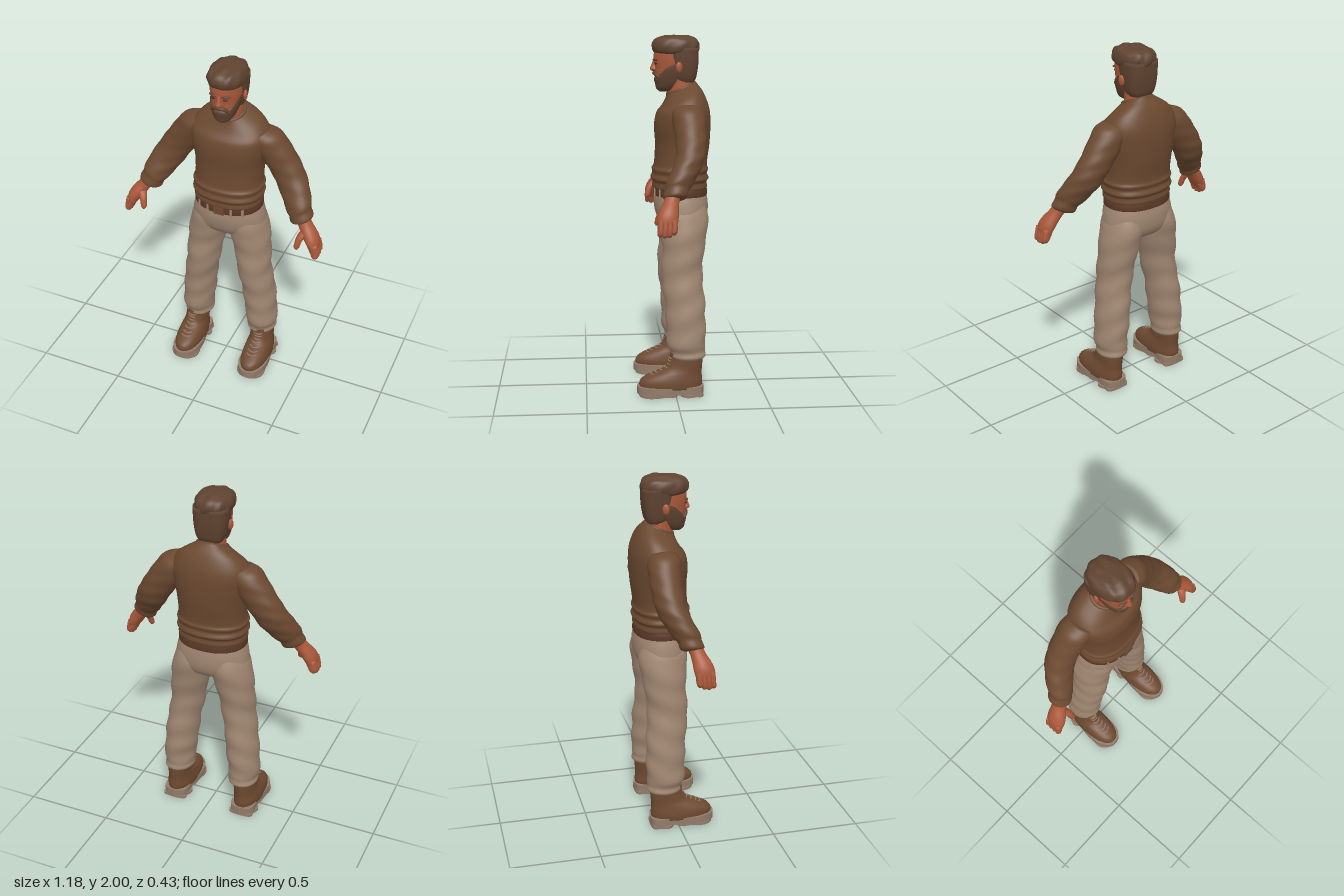
import * as THREE from 'three';

const mat = (name, color, side = THREE.FrontSide) => {
  const m = new THREE.MeshStandardMaterial({ color, side });
  m.name = name;
  return m;
};

// Smooth skin through rings [x, y, z, radiusX, radiusZ, tilt], listed bottom to top
function loft(rows, { seg = 32, steps = 5, n = 2, warp } = {}) {
  const centre = new THREE.CatmullRomCurve3(rows.map(r => new THREE.Vector3(r[0], r[1], r[2])), false, 'catmullrom', 0.5);
  const size = new THREE.CatmullRomCurve3(rows.map(r => new THREE.Vector3(r[3], r[4], r[5] || 0)), false, 'catmullrom', 0.5);
  const count = (rows.length - 1) * steps, pos = [], index = [];
  const pow = v => Math.sign(v) * Math.abs(v) ** (2 / n);
  const p = new THREE.Vector3();
  for (let j = 0; j <= count; j++) {
    const t = j / count, c = centre.getPoint(t), s = size.getPoint(t);
    for (let i = 0; i < seg; i++) {
      const a = i / seg * Math.PI * 2, u = pow(Math.cos(a)) * s.x, v = pow(Math.sin(a)) * s.y;
      p.set(c.x + u * Math.cos(s.z), c.y + u * Math.sin(s.z), c.z + v);
      if (warp) warp(p, a, t, c);
      pos.push(p.x, p.y, p.z);
      if (j < count) {
        const k = j * seg + i, q = j * seg + (i + 1) % seg;
        index.push(k, k + seg, q, q, k + seg, q + seg);
      }
    }
  }
  // End caps
  for (const j of [0, count]) {
    const hub = pos.length / 3, mid = [0, 0, 0];
    for (let i = 0; i < seg; i++) for (let d = 0; d < 3; d++) mid[d] += pos[(j * seg + i) * 3 + d] / seg;
    pos.push(...mid);
    for (let i = 0; i < seg; i++) {
      const k = j * seg + i, q = j * seg + (i + 1) % seg;
      if (j) index.push(hub, q, k); else index.push(hub, k, q);
    }
  }
  const g = new THREE.BufferGeometry();
  g.setAttribute('position', new THREE.Float32BufferAttribute(pos, 3));
  g.setIndex(index);
  g.computeVertexNormals();
  return g;
}

// Copy reflected across x = 0 with its faces turned back outward
function reflect(geo) {
  const g = geo.index ? geo.toNonIndexed() : geo.clone();
  for (const key of ['position', 'normal']) {
    const a = g.attributes[key];
    for (let i = 0; i < a.count; i += 3) {
      const v = [0, 2, 1].map(k => [-a.getX(i + k), a.getY(i + k), a.getZ(i + k)]);
      v.forEach((c, k) => a.setXYZ(i + k, ...c));
    }
  }
  return g;
}

// Cloth folds: push points away from the centre line
const folds = (amount, fy, fa) => (p, a, t, c) => {
  const f = 1 + amount * Math.sin(p.y * fy + fa * Math.sin(a + 0.6)) * Math.sin(Math.PI * t);
  p.x = c.x + (p.x - c.x) * f;
  p.z = c.z + (p.z - c.z) * f;
};

export function createModel() {
  const model = new THREE.Group();
  model.name = 'man';
  const sweater = mat('sweater brown', 0x6b4930), trousers = mat('trouser tan', 0x9f8570);
  const skin = mat('skin', 0xa9583a), hair = mat('hair brown', 0x5f4330), leather = mat('boot leather', 0x6e4a31);
  const sole = mat('sole tan', 0x927b69), belt = mat('belt brown', 0x5a3826), dark = mat('eye dark', 0x3d271c);
  const add = (name, geo, m) => {
    const mesh = new THREE.Mesh(geo, m);
    mesh.name = name;
    model.add(mesh);
  };
  const pair = (name, geo, m) => {
    add('left ' + name, geo, m);
    add('right ' + name, reflect(geo), m);
  };

  // Sweater body with bunched hem; neckline slopes down to the front
  add('sweater body', loft([
    [0, 1.14, -.04, .185, .143], [0, 1.16, -.04, .197, .155], [0, 1.188, -.04, .195, .151], [0, 1.208, -.04, .205, .163],
    [0, 1.235, -.04, .196, .153], [0, 1.26, -.042, .204, .158], [0, 1.29, -.045, .193, .148], [0, 1.4, -.055, .197, .152],
    [0, 1.5, -.055, .215, .157], [0, 1.58, -.06, .222, .147], [0, 1.64, -.06, .185, .118], [0, 1.69, -.053, .112, .09],
    [0, 1.71, -.05, .08, .082]], {
    seg: 48, n: 2.3,
    warp: p => { p.y -= (p.z + .05) * .4 * THREE.MathUtils.smoothstep(p.y, 1.55, 1.7); },
  }), sweater);
  const collar = new THREE.TorusGeometry(.08, .011, 10, 40);
  collar.rotateX(Math.PI / 2 + .38).translate(0, 1.705, -.05);
  add('collar', collar, sweater);

  // Sleeves, with cuffs at the wrist
  pair('sleeve', loft([
    [.467, 1.152, .027, .045, .047, .4], [.457, 1.163, .022, .067, .064, .4], [.442, 1.197, .012, .067, .065, .45],
    [.43, 1.222, 0, .075, .073, .5], [.4, 1.275, -.03, .083, .077, .53], [.362, 1.335, -.06, .087, .08, .53],
    [.315, 1.41, -.075, .088, .082, .53], [.252, 1.5, -.075, .09, .088, .55], [.21, 1.56, -.07, .083, .09, .6],
    [.16, 1.59, -.065, .07, .08, .6]], { warp: folds(.025, 75, 2) }), sweater);

  // Hands: palm, four fingers, thumb
  pair('palm', loft([
    [.56, 1.015, .07, .02, .042, .4], [.555, 1.035, .07, .03, .053, .4], [.538, 1.07, .066, .039, .056, .4],
    [.515, 1.105, .058, .04, .05, .4], [.488, 1.14, .045, .038, .042, .4], [.46, 1.18, .03, .04, .042, .4]], { seg: 20 }), skin);
  for (let i = 0; i < 4; i++) {
    const z = .034 + i * .024, drop = [.015, .003, 0, .006][i];
    pair('finger ' + (i + 1), loft([
      [.573, .967 + drop, z + .003, .007, .006, .3], [.573, .976 + drop, z + .003, .018, .014, .3],
      [.566, 1.01, z, .024, .0165, .3], [.55, 1.055, z, .03, .016, .3]], { seg: 12, steps: 3 }), skin);
  }
  pair('thumb', loft([
    [.467, 1.016, .119, .006, .007], [.466, 1.03, .116, .016, .016], [.472, 1.065, .106, .019, .019],
    [.483, 1.095, .088, .023, .024], [.5, 1.125, .062, .02, .025]], { seg: 14, steps: 3 }), skin);

  // Trousers
  add('trouser seat', loft([
    [0, .915, -.055, .06, .06], [0, .94, -.055, .17, .11], [0, .99, -.052, .212, .142], [0, 1.06, -.047, .208, .153],
    [0, 1.13, -.043, .19, .147]], { seg: 40, n: 2.2 }), trousers);
  pair('trouser leg', loft([
    [.207, .2, -.07, .066, .075], [.207, .222, -.07, .086, .1], [.205, .25, -.068, .084, .098], [.206, .285, -.063, .092, .107],
    [.204, .34, -.06, .091, .11], [.195, .42, -.06, .096, .111], [.182, .55, -.053, .095, .113], [.16, .68, -.04, .098, .115],
    [.147, .8, -.048, .105, .117], [.129, .9, -.054, .114, .128], [.112, 1, -.054, .11, .138], [.1, 1.08, -.05, .088, .12]],
  { warp: folds(.035, 42, 2.2) }), trousers);

  // Belt, buckle and loops
  add('belt', loft([[0, 1.112, -.043, .19, .148], [0, 1.116, -.043, .197, .153], [0, 1.152, -.042, .195, .151],
    [0, 1.156, -.042, .187, .145]], { seg: 40, steps: 2, n: 2.2 }), belt);
  add('belt buckle', new THREE.BoxGeometry(.06, .045, .009).translate(0, 1.133, .113), leather);
  for (const x of [.07, .13]) {
    pair('belt loop', new THREE.BoxGeometry(.012, .048, .009).translate(x, 1.133, x < .1 ? .104 : .08), trousers);
  }

  // Boots: upper, sole, heel, laces
  pair('boot', loft([
    [.217, .045, .027, .078, .175], [.217, .075, .026, .08, .178], [.217, .1, .018, .077, .168], [.216, .125, -.005, .072, .143],
    [.215, .155, -.042, .066, .108], [.213, .2, -.058, .066, .095], [.21, .25, -.063, .068, .09]], { n: 2.2 }), leather);
  const outline = new THREE.Shape();
  outline.moveTo(0, -.16).splineThru([[.055, -.145], [.072, -.1], [.07, -.03], [.083, .06], [.078, .14], [.045, .2], [0, .216],
    [-.045, .2], [-.078, .14], [-.083, .06], [-.07, -.03], [-.072, -.1], [-.055, -.145], [0, -.16]].map(a => new THREE.Vector2(...a)));
  const slab = (low, high) => new THREE.ExtrudeGeometry(outline, { depth: high - low, bevelEnabled: false, curveSegments: 60 })
    .rotateX(Math.PI / 2).translate(.217, high, 0);
  pair('boot sole', slab(.014, .056), sole);
  pair('boot heel', slab(0, .016).scale(1, 1, .36).translate(0, 0, -.1), sole);
  pair('boot tread', slab(0, .016).scale(1, 1, .58).translate(0, 0, .08), sole);
  for (const [y, z] of [[.122, .139], [.134, .116], [.146, .088], [.16, .061], [.178, .045], [.196, .038], [.212, .035]]) {
    const lace = new THREE.QuadraticBezierCurve3(new THREE.Vector3(.188, y + .002, z - .014),
      new THREE.Vector3(.216, y, z + .014), new THREE.Vector3(.244, y + .002, z - .014));
    pair('boot lace', new THREE.TubeGeometry(lace, 8, .0045, 6), sole);
  }

  // Neck and head
  add('neck', loft([[0, 1.62, -.05, .075, .078], [0, 1.7, -.05, .073, .073], [0, 1.75, -.045, .07, .07],
    [0, 1.8, -.035, .07, .075]]), skin);
  add('head', loft([[0, 1.7, .04, .03, .033], [0, 1.73, .02, .058, .067], [0, 1.78, 0, .075, .095], [0, 1.82, -.015, .083, .113],
    [0, 1.87, -.014, .086, .119], [0, 1.92, -.02, .086, .118], [0, 1.96, -.02, .07, .09], [0, 1.985, -.02, .03, .04]],
  { n: 2.15 }), skin);
  add('nose', loft([[0, 1.802, .095, .012, .016], [0, 1.813, .1, .02, .025], [0, 1.835, .099, .013, .019],
    [0, 1.866, .097, .01, .009]], { seg: 16 }), skin);
  pair('ear', new THREE.SphereGeometry(.03, 14, 10).scale(.4, 1, .65).rotateY(.3).translate(.094, 1.825, -.03), skin);

  // Brows and eyes
  pair('eyebrow', new THREE.SphereGeometry(.024, 14, 8).scale(1, .27, .4).rotateZ(.08).rotateY(.3).translate(.037, 1.864, .097), hair);
  pair('eye', new THREE.SphereGeometry(.014, 12, 8).scale(1, .4, .35).rotateY(.3).translate(.035, 1.845, .095), dark);

  // Beard climbs the cheeks to the sideburns
  add('beard', loft([[0, 1.69, .045, .025, .028], [0, 1.705, .036, .047, .054], [0, 1.73, .021, .065, .075],
    [0, 1.76, .009, .077, .094], [0, 1.778, .001, .074, .092]], {
    seg: 40, n: 2.15,
    warp: (p, a, t) => {
      const side = Math.min(1, Math.abs(p.x) / .076) ** 4 * t * t;
      p.y += side * .085;
      p.x *= 1 + side * .14;
      p.z -= side * .012;
    },
  }), hair);
  const lip = new THREE.CatmullRomCurve3([[-.05, 1.765, .078], [-.028, 1.787, .096], [0, 1.792, .103], [.028, 1.787, .096],
    [.05, 1.765, .078]].map(a => new THREE.Vector3(...a)));
  add('moustache', new THREE.TubeGeometry(lip, 20, .01, 8), hair);

  // Hair: swept top and cropped back
  add('hair top', loft([[0, 1.895, -.022, .086, .108], [0, 1.912, -.018, .098, .126], [0, 1.945, -.017, .1, .132],
    [0, 1.978, -.02, .086, .113], [0, 1.996, -.025, .05, .065]], {
    seg: 48, n: 2.3,
    warp: (p, a, t) => {
      const f = 1 + .022 * Math.sin(a * 9 + t * 7) * Math.sin(Math.PI * t);
      p.x *= f;
      p.z *= f;
      p.y += .004 * Math.sin(p.x * 90 + p.z * 30) * t;
    },
  }), hair);
  add('hair back', loft([[0, 1.74, -.068, .066, .05], [0, 1.77, -.066, .08, .066], [0, 1.84, -.06, .092, .083],
    [0, 1.93, -.052, .098, .093]], { n: 3 }), hair);
  return model;
}
